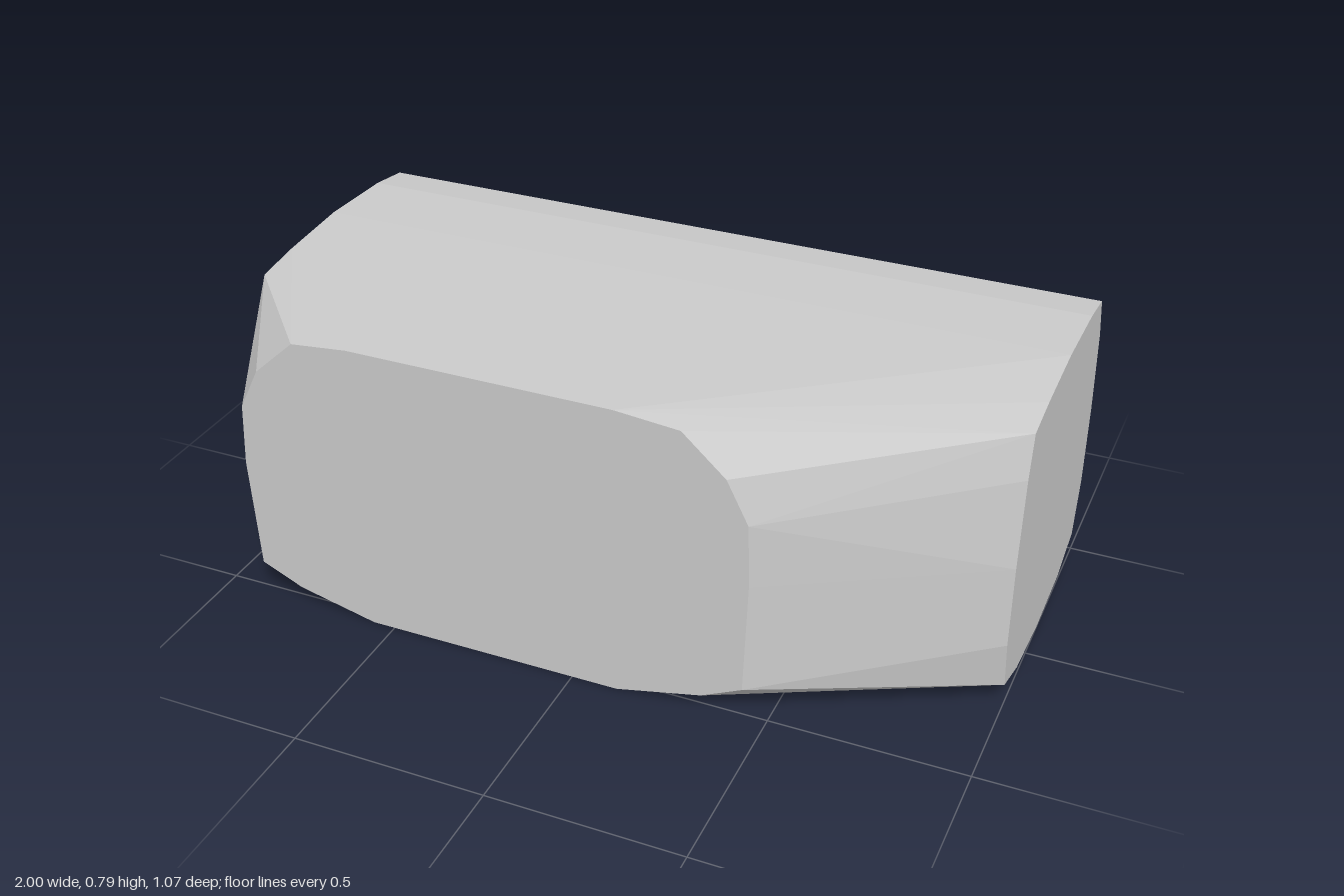
import * as THREE from 'three';
import { ConvexGeometry } from 'three/addons/geometries/ConvexGeometry.js';

// Shared rounded back of both ends, as [z, y], from top round to bottom
const back = [
  [-0.12, 0.79], [-0.35, 0.782], [-0.47, 0.765], [-0.51, 0.65],
  [-0.533, 0.42], [-0.53, 0.2], [-0.49, 0.055], [-0.35, 0.01], [-0.12, 0],
];
// Front edges of the two ends, as [z, y], from bottom to top
const leftEdge = [
  [0.09, 0.02], [0.225, 0.065], [0.25, 0.2], [0.252, 0.42], [0.233, 0.65], [0.21, 0.76], [0.09, 0.776],
];
const rightEdge = [
  [0.09, 0.015], [0.3, 0.065], [0.335, 0.17], [0.34, 0.42], [0.28, 0.64], [0.22, 0.76], [0.09, 0.776],
];
// Front face outline, as [x, y]
const front = [
  [-0.57, 0.79], [-0.72, 0.775], [-0.83, 0.675], [-0.885, 0.565], [-0.895, 0.4], [-0.88, 0.1],
  [-0.77, 0.05], [-0.56, 0], [0.12, 0], [0.34, 0.05], [0.445, 0.1], [0.455, 0.4],
  [0.45, 0.565], [0.395, 0.675], [0.285, 0.775], [0.12, 0.79],
];

export function createModel() {
  const group = new THREE.Group();
  group.name = 'threeWayBlock';

  // One convex body wrapped around the two flat ends and the flat front
  const points = [
    ...[...back, ...leftEdge].map(([z, y]) => new THREE.Vector3(1, y, z)),
    ...[...back, ...rightEdge].map(([z, y]) => new THREE.Vector3(-1, y, z)),
    ...front.map(([x, y]) => new THREE.Vector3(x, y, 0.533)),
  ];
  const body = new THREE.Mesh(
    new ConvexGeometry(points),
    new THREE.MeshStandardMaterial({ color: 0xcccccc, flatShading: true }),
  );
  body.name = 'body';
  group.add(body);
  return group;
}
